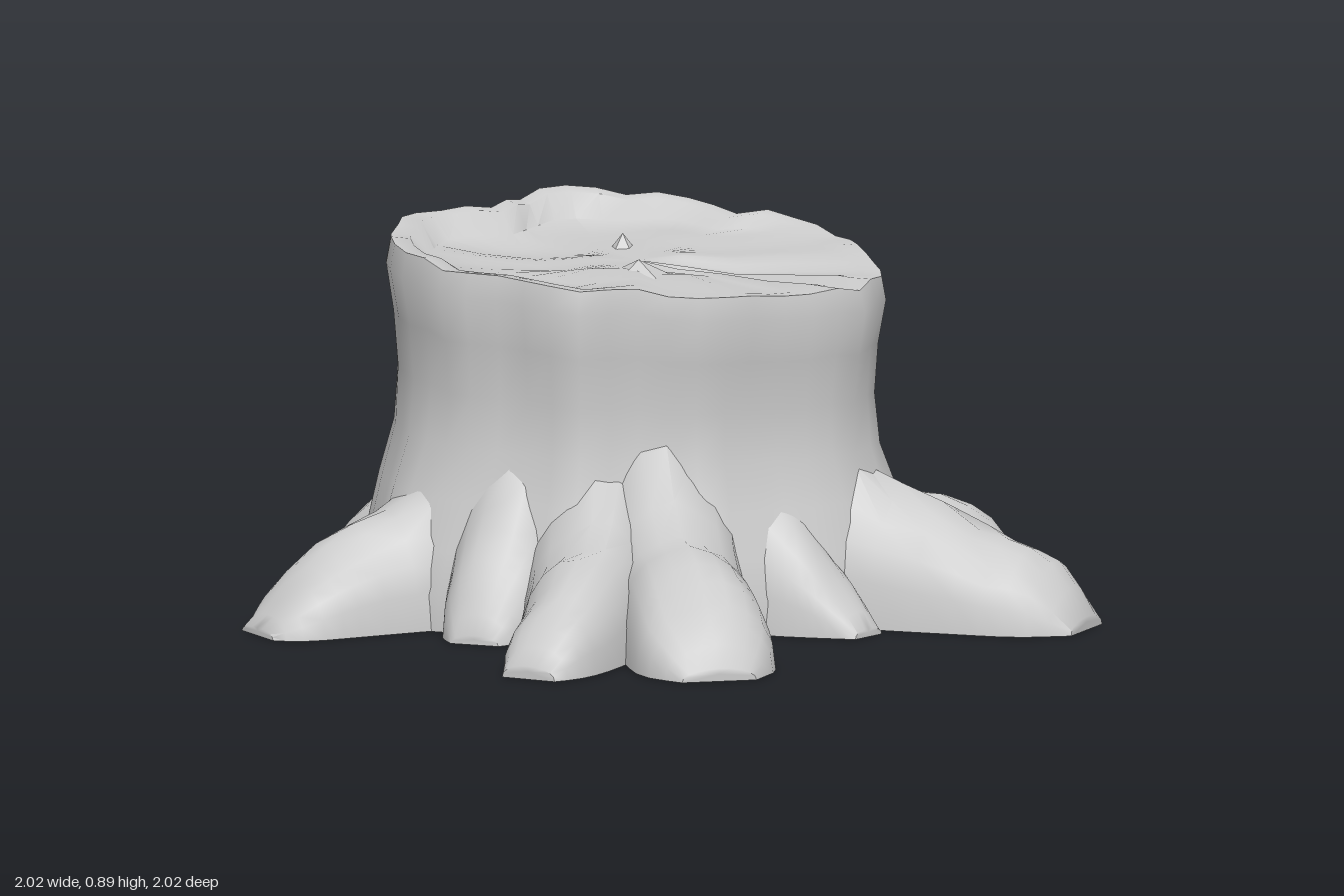
import * as THREE from 'three';
import { toCreasedNormals } from 'three/addons/utils/BufferGeometryUtils.js';

const wood = new THREE.MeshStandardMaterial({ color: 0xcccccc });
wood.name = 'pale grey wood';

// smooth repeatable bumps in the range -1..1
const bump = (x, y, z) =>
  0.6 * Math.sin(9 * x + 4 * y + 1) * Math.sin(8 * z - 5 * y + 2) +
  0.4 * Math.sin(19 * x - 7 * z + 6 * y) * Math.cos(17 * z + 9 * y + 5 * x);

// skin a list of equal rings of [x, y, z] and close both ends
function loft(rings, name) {
  const n = rings[0].length, pos = [], index = [];
  rings.forEach(r => r.forEach(p => pos.push(...p)));
  for (let i = 0; i < rings.length - 1; i++) {
    for (let j = 0; j < n; j++) {
      const a = i * n + j, b = i * n + (j + 1) % n;
      index.push(a, a + n, b, b, a + n, b + n);
    }
  }
  [0, rings.length - 1].forEach(i => {
    const c = pos.length / 3;
    pos.push(...[0, 1, 2].map(k => rings[i].reduce((s, p) => s + p[k], 0) / n));
    for (let j = 0; j < n; j++) {
      const a = i * n + j, b = i * n + (j + 1) % n;
      index.push(c, ...(i ? [b, a] : [a, b]));
    }
  });
  const g = new THREE.BufferGeometry();
  g.setAttribute('position', new THREE.Float32BufferAttribute(pos, 3));
  g.setIndex(index);
  const mesh = new THREE.Mesh(toCreasedNormals(g, 0.85), wood);
  mesh.name = name;
  return mesh;
}

// outline of the cut rim, as x, z
const RIM = [
  [0.2, -0.6], [0.3, -0.5], [0.42, -0.4], [0.47, -0.25], [0.55, -0.2], [0.58, 0],
  [0.51, 0.2], [0.43, 0.4], [0.3, 0.47], [0.15, 0.48], [0, 0.46], [-0.13, 0.44],
  [-0.22, 0.34], [-0.4, 0.28], [-0.49, 0.1], [-0.57, -0.1], [-0.55, -0.25],
  [-0.45, -0.4], [-0.3, -0.52], [-0.08, -0.51], [0.05, -0.58]];

function trunk() {
  const cx = 0.03, cz = -0.06, N = 48;
  const curve = new THREE.CatmullRomCurve3(RIM.map(p => new THREE.Vector3(p[0], 0, p[1])), true);
  const outline = curve.getSpacedPoints(N).slice(0, N);
  const rings = [];
  // bark wall: fraction of rim height, scale of outline
  [[0, 1.13], [0.1, 1.13], [0.22, 1.08], [0.36, 1.02], [0.5, 0.96], [0.65, 0.95],
    [0.8, 0.97], [0.93, 1], [1, 0.98]].forEach(([t, s]) => {
    rings.push(outline.map(p => {
      const rimY = 0.835 - 0.09 * p.z - 0.02 * p.x + 0.015 * bump(p.x * 2, 0, p.z * 2);
      const y = t * rimY;
      // vertical flutes that fade towards the rim
      const k = s * (1 + (0.055 - 0.03 * t) * bump(p.x * 1.3, y * 0.5, p.z * 1.3));
      return [cx + (p.x - cx) * k, y, cz + (p.z - cz) * k];
    }));
  });
  // sunken, uneven cut face
  const rim = rings[rings.length - 1];
  [[0.92, 0.1], [0.85, 0.8], [0.65, 1], [0.42, 1], [0.2, 1]].forEach(([s, sink]) => {
    rings.push(rim.map(([x, y, z]) => {
      const px = cx + (x - cx) * s, pz = cz + (z - cz) * s;
      const floor = Math.min(y, 0.81) + 0.015 * bump(px, 0.3, pz);
      return [px, y + (floor - y) * sink, pz];
    }));
  });
  return loft(rings, 'trunk');
}

// each root: stations of x, z, half width, height, from trunk to tip
const ROOTS = {
  backLeftRoot: [[0.24, -0.35, 0.2, 0.5], [0.32, -0.52, 0.19, 0.33], [0.42, -0.75, 0.15, 0.2], [0.47, -0.88, 0.15, 0.14], [0.5, -0.97, 0.1, 0.03]],
  leftRoot: [[0.42, -0.08, 0.25, 0.5], [0.6, -0.08, 0.25, 0.3], [0.76, 0.02, 0.2, 0.2], [0.88, 0.13, 0.18, 0.14], [0.96, 0.19, 0.1, 0.03]],
  frontLeftRoot: [[0.28, 0.27, 0.22, 0.52], [0.37, 0.46, 0.2, 0.33], [0.5, 0.67, 0.18, 0.22], [0.58, 0.8, 0.16, 0.17], [0.64, 0.9, 0.09, 0.03]],
  frontSmallRoot: [[0.08, 0.35, 0.17, 0.45], [0.11, 0.48, 0.14, 0.26], [0.14, 0.58, 0.1, 0.15], [0.17, 0.68, 0.05, 0.02]],
  frontRightRoot: [[-0.14, 0.27, 0.2, 0.48], [-0.25, 0.5, 0.17, 0.3], [-0.36, 0.73, 0.17, 0.23], [-0.43, 0.88, 0.16, 0.15], [-0.47, 0.98, 0.09, 0.03]],
  frontRightForkRoot: [[-0.28, 0.22, 0.18, 0.42], [-0.45, 0.42, 0.16, 0.26], [-0.62, 0.58, 0.13, 0.2], [-0.74, 0.66, 0.11, 0.13], [-0.82, 0.7, 0.07, 0.03]],
  rightSmallRoot: [[-0.4, 0.08, 0.16, 0.5], [-0.52, 0.16, 0.14, 0.28], [-0.59, 0.2, 0.11, 0.17], [-0.65, 0.24, 0.06, 0.02]],
  rightRoot: [[-0.42, -0.12, 0.19, 0.55], [-0.6, -0.13, 0.16, 0.29], [-0.8, -0.15, 0.15, 0.19], [-0.92, -0.15, 0.13, 0.1], [-0.99, -0.16, 0.08, 0.02]],
  backButtressRoot: [[-0.08, -0.38, 0.28, 0.5], [-0.11, -0.52, 0.28, 0.32], [-0.14, -0.65, 0.26, 0.2], [-0.16, -0.74, 0.17, 0.03]],
  backRightRoot: [[-0.25, -0.35, 0.18, 0.48], [-0.33, -0.48, 0.17, 0.28], [-0.39, -0.6, 0.13, 0.17], [-0.43, -0.68, 0.07, 0.02]],
};

function root(name, stations) {
  const path = new THREE.CatmullRomCurve3(stations.map(([x, z, , h]) => new THREE.Vector3(x, h, z)));
  const widths = new THREE.CatmullRomCurve3(stations.map(([x, , w], i) => new THREE.Vector3(w, i, 0)));
  const rings = [], SECTIONS = 10, SIDES = 10;
  for (let i = 0; i <= SECTIONS; i++) {
    const t = i / SECTIONS, p = path.getPoint(t), w = widths.getPoint(t).x;
    const d = path.getTangent(t).setY(0).normalize();
    const ring = [];
    // arched section standing on flat ground
    for (let j = 0; j <= SIDES; j++) {
      const a = Math.PI * j / SIDES;
      const up = Math.sin(a), side = Math.cos(a) * w;
      const x = p.x - d.z * side, z = p.z + d.x * side;
      const lump = 1 + 0.14 * bump(x * 1.5, 0.2, z * 1.5);
      ring.push([x, j % SIDES ? p.y * Math.pow(up, 0.85) * lump : 0, z]);
    }
    rings.push(ring);
  }
  return loft(rings, name);
}

export function createModel() {
  const stump = new THREE.Group();
  stump.name = 'treeStump';
  stump.add(trunk());
  for (const [name, stations] of Object.entries(ROOTS)) stump.add(root(name, stations));

  // raised splinter and knot on the cut face
  [['splinter', -0.08, 0.1, 0.1], ['knot', 0.1, -0.22, 0.04]].forEach(([name, x, z, r]) => {
    const m = new THREE.Mesh(new THREE.ConeGeometry(r, 0.05, 5).toNonIndexed(), wood);
    m.geometry.computeVertexNormals();
    m.position.set(x, 0.815, z);
    m.name = name;
    stump.add(m);
  });
  return stump;
}
